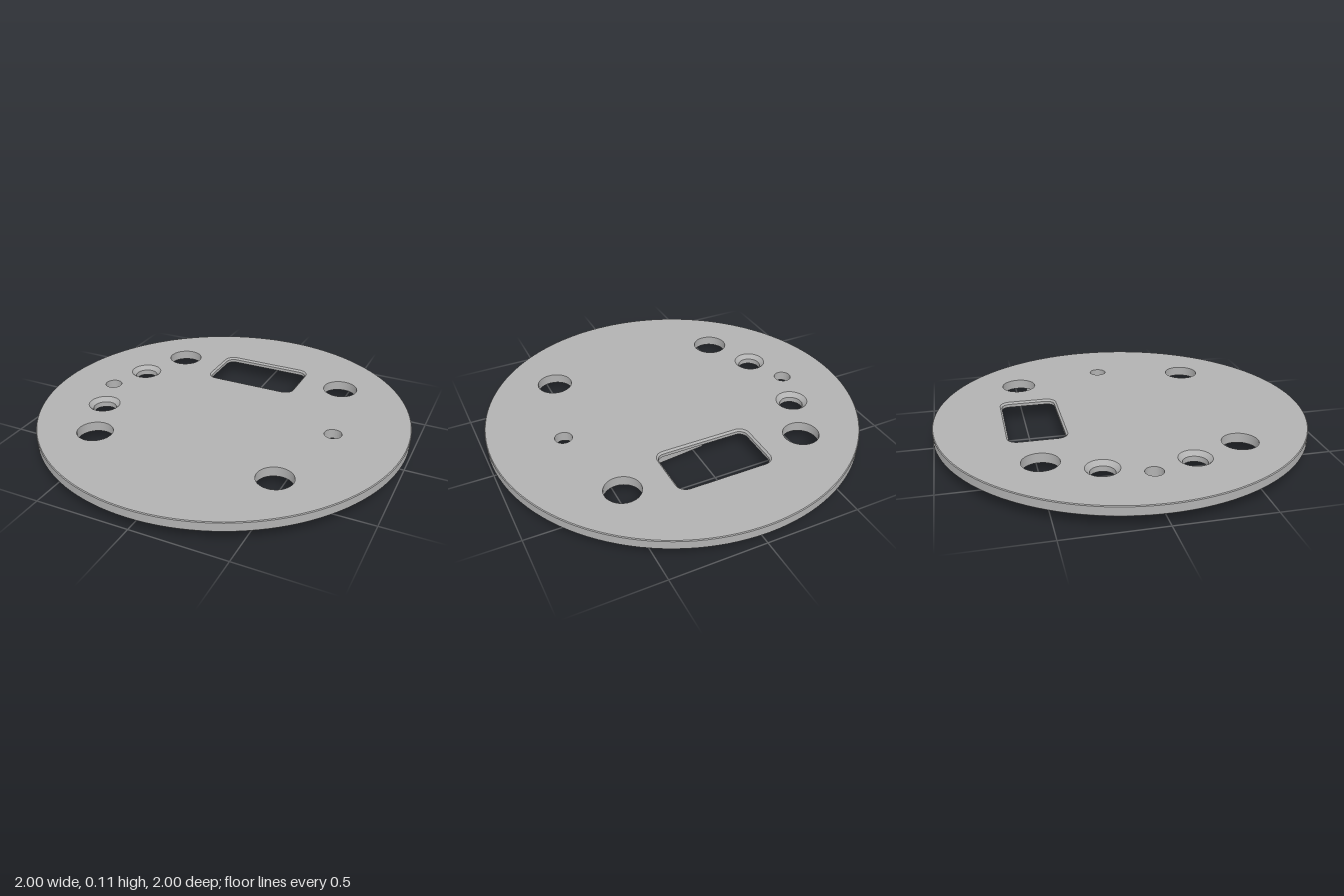
import * as THREE from 'three';
import { mergeGeometries, toCreasedNormals } from 'three/addons/utils/BufferGeometryUtils.js';

const TAU = Math.PI * 2;
const BOTTOM = 0.062, TOP = 0.114, FLOOR = 0.087;

// Points on an arc in the (x, z) plane
function arc(cx, cz, r, a0, a1, n) {
  return Array.from({ length: n + 1 }, (_, i) => {
    const a = a0 + ((a1 - a0) * i) / n;
    return new THREE.Vector2(cx + r * Math.cos(a), cz + r * Math.sin(a));
  });
}
const circle = (cx, cz, r, n = 48) => arc(cx, cz, r, 0, TAU, n).slice(0, n);

function roundedRect(x0, x1, z0, z1, r) {
  const q = Math.PI / 2;
  return [
    ...arc(x1 - r, z1 - r, r, 0, q, 8), ...arc(x0 + r, z1 - r, r, q, 2 * q, 8),
    ...arc(x0 + r, z0 + r, r, 2 * q, 3 * q, 8), ...arc(x1 - r, z0 + r, r, 3 * q, 4 * q, 8),
  ];
}

// Flat face with holes, facing up or down at height y
function sheet(outline, holes, y, up) {
  const s = up ? -1 : 1;
  const flip = (pts) => pts.map((p) => new THREE.Vector2(p.x, p.y * s));
  const shape = new THREE.Shape(flip(outline));
  shape.holes = holes.map((h) => new THREE.Path(flip(h)));
  const geo = new THREE.ShapeGeometry(shape).toNonIndexed();
  geo.rotateX((s * Math.PI) / 2).translate(0, y, 0);
  geo.deleteAttribute('uv');
  return geo;
}

// Wall through rings [points, y]: listed upward it faces inward, downward outward
function wall(...rings) {
  const pos = [];
  const reverse = THREE.ShapeUtils.isClockWise(rings[0][0]);
  const loops = rings.map(([pts, y]) =>
    (reverse ? [...pts].reverse() : pts).map((p) => [p.x, y, p.y]));
  for (let k = 0; k + 1 < loops.length; k++) {
    const lo = loops[k], hi = loops[k + 1], n = lo.length;
    for (let i = 0; i < n; i++) {
      const j = (i + 1) % n;
      pos.push(...lo[i], ...lo[j], ...hi[j], ...lo[i], ...hi[j], ...hi[i]);
    }
  }
  const geo = new THREE.BufferGeometry();
  geo.setAttribute('position', new THREE.Float32BufferAttribute(pos, 3));
  return toCreasedNormals(geo, 0.5);
}

export function createModel() {
  const model = new THREE.Group();
  const grey = new THREE.MeshStandardMaterial({ color: 0xb2b2b2 });
  grey.name = 'plain grey';
  const add = (name, ...geos) => {
    const mesh = new THREE.Mesh(mergeGeometries(geos), grey);
    mesh.name = name;
    model.add(mesh);
  };

  // Straight through holes: [x, z, radius]
  const plain = [
    [0.5, 0.5, 0.094], [-0.5, 0.5, 0.094], [0.5, -0.5, 0.094], [-0.5, -0.5, 0.094],
    [-0.708, 0, 0.046], [0.62, 0, 0.046],
  ].map(([x, z, r]) => circle(x, z, r));

  // Countersunk screw holes
  const sinks = [-0.226, 0.226].map((z) => ({
    narrow: circle(-0.622, z, 0.062), wide: circle(-0.622, z, 0.085),
  }));

  // Window with a small bevel on its upper edge
  const windowIn = roundedRect(-0.253, 0.253, -0.623, -0.332, 0.045);
  const windowOut = roundedRect(-0.263, 0.263, -0.633, -0.322, 0.055);

  // Recess under the window, scooped around the two rear holes
  const side = [
    ...arc(0.36, -0.34, 0.06, Math.PI / 2, 0, 8),
    ...arc(0.5, -0.5, 0.14, 2.18, TAU - 2.18, 14),
    ...arc(0.36, -0.62, 0.06, 0, -Math.PI / 2, 8),
  ];
  const recess = [...side, ...side.map((p) => new THREE.Vector2(-p.x, p.y)).reverse()];

  // Plate faces and rim
  const bevel = 0.004;
  const rim = circle(0, 0, 1, 128), face = circle(0, 0, 1 - bevel, 128);
  add('plateTop', sheet(face, [...plain, ...sinks.map((s) => s.wide), windowOut], TOP, true));
  add('plateUnderside', sheet(face, [...plain, ...sinks.map((s) => s.narrow), recess], BOTTOM, false));
  add('plateRim', wall([face, TOP], [rim, TOP - bevel], [rim, BOTTOM + bevel], [face, BOTTOM]));

  // Hole walls
  add('throughHoles', ...plain.map((c) => wall([c, BOTTOM], [c, TOP])));
  add('countersunkHoles', ...sinks.map(({ narrow, wide }) =>
    wall([narrow, BOTTOM], [narrow, TOP - 0.023], [wide, TOP])));
  add('windowWalls', wall([windowIn, FLOOR], [windowIn, TOP - 0.01], [windowOut, TOP]));
  add('windowRecess', sheet(recess, [windowIn], FLOOR, false), wall([recess, BOTTOM], [recess, FLOOR]));

  // Pair of locating ribs below the plate
  const scoop = new THREE.QuadraticBezierCurve(
    new THREE.Vector2(0.66, 0.44), new THREE.Vector2(0.58, 0.31), new THREE.Vector2(0.42, 0.3));
  const a0 = Math.atan2(0.21, 0.77), a1 = Math.atan2(0.44, 0.66);
  const rib = [
    new THREE.Vector2(-0.06, 0.21),
    ...arc(0, 0, 0.796, a0, a1, 10),
    ...scoop.getPoints(12).slice(1),
    new THREE.Vector2(-0.06, 0.245),
  ];
  for (const [name, s] of [['frontRib', 1], ['rearRib', -1]]) {
    const pts = rib.map((p) => new THREE.Vector2(p.x, p.y * s));
    add(name, sheet(pts, [], 0, false), wall([pts, BOTTOM], [pts, 0]));
  }
  return model;
}
